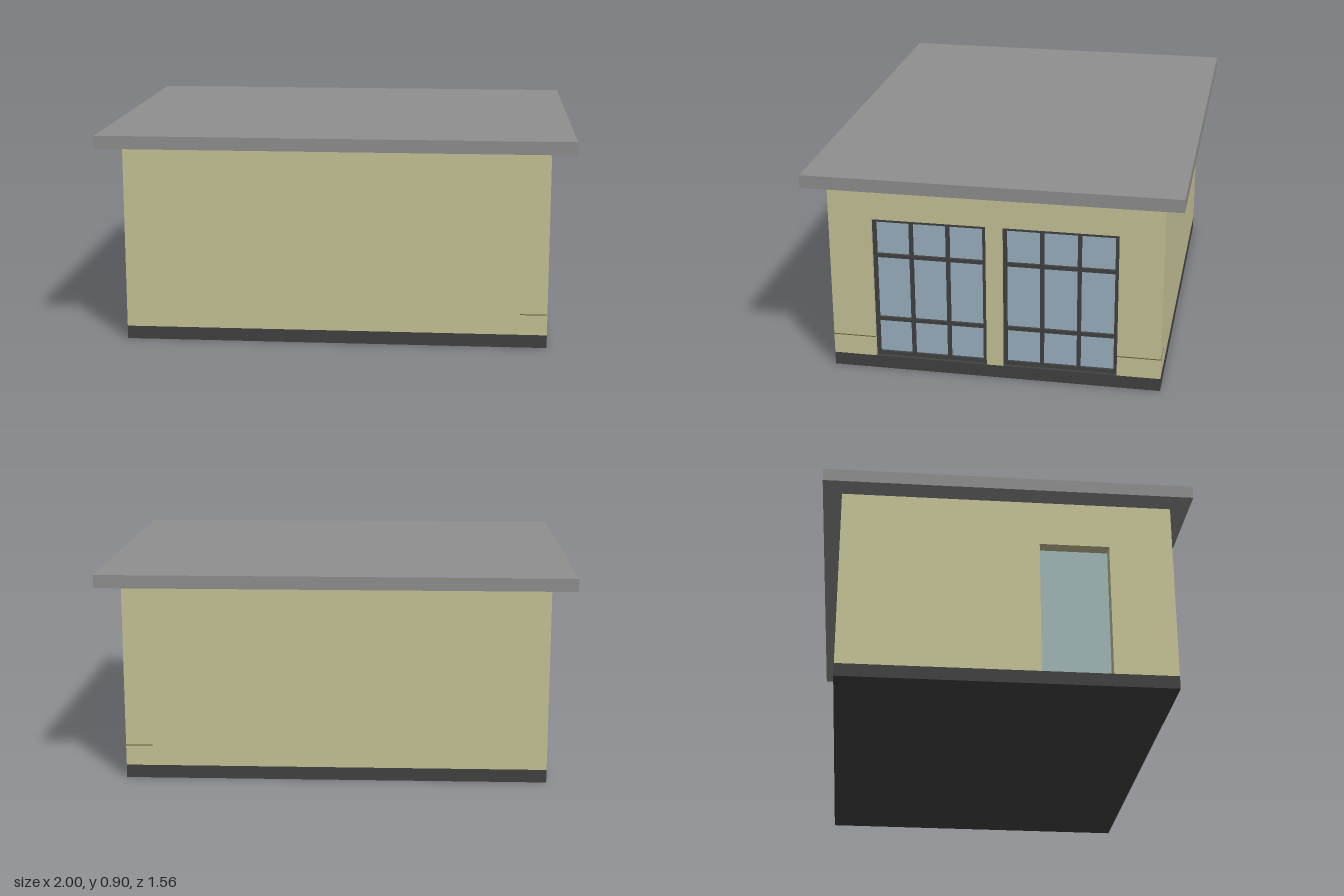
import * as THREE from 'three';

const paint = (color) => new THREE.MeshStandardMaterial({ color });
const WALL = paint(0xc8c498), ROOF = paint(0x909090), DARK = paint(0x424242);
const GLASS = paint(0x9ab2c2), DOOR = paint(0xa0b6b6), LINE = paint(0x6b6540);

const X = 0.9, Z = 0.7, FLOOR = 0.056, EAVE = 0.845, TOP = 0.9, THICK = 0.06;

// Box given by its minimum and maximum corners
function box(name, mat, [x0, y0, z0], [x1, y1, z1]) {
  const mesh = new THREE.Mesh(new THREE.BoxGeometry(x1 - x0, y1 - y0, z1 - z0), mat);
  mesh.position.set((x0 + x1) / 2, (y0 + y1) / 2, (z0 + z1) / 2);
  mesh.name = name;
  return mesh;
}

// Side wall between front and back walls, notched from the floor for each opening [z0, z1, top]
function sideWall(name, outerX, openings) {
  const end = Z - THICK;
  const shape = new THREE.Shape();
  shape.moveTo(-end, FLOOR);
  for (const [z0, z1, top] of openings) {
    shape.lineTo(z0, FLOOR);
    shape.lineTo(z0, top);
    shape.lineTo(z1, top);
    shape.lineTo(z1, FLOOR);
  }
  shape.lineTo(end, FLOOR);
  shape.lineTo(end, EAVE);
  shape.lineTo(-end, EAVE);
  const geo = new THREE.ExtrudeGeometry(shape, { depth: THICK, bevelEnabled: false });
  geo.rotateY(-Math.PI / 2);
  const mesh = new THREE.Mesh(geo, WALL);
  mesh.position.x = outerX;
  mesh.name = name;
  return mesh;
}

// Tall window: glass, outer frame and a 3 x 3 grid of bars
function makeWindow(name, z0, z1, top) {
  const group = new THREE.Group();
  group.name = name;
  const front = X - 0.015, back = X - 0.045, bar = 0.016;
  group.add(box('glass', GLASS, [back, FLOOR, z0], [X - 0.028, top, z1]));
  for (let i = 0; i <= 3; i++) {
    const z = z0 + bar / 2 + ((z1 - z0 - bar) * i) / 3;
    group.add(box('uprightBar', DARK, [back, FLOOR, z - bar / 2], [front, top, z + bar / 2]));
  }
  for (const y of [FLOOR + bar / 2, 0.226, 0.518, top - bar / 2]) {
    group.add(box('crossBar', DARK, [back, y - bar / 2, z0], [front - 0.001, y + bar / 2, z1]));
  }
  return group;
}

export function createModel() {
  const model = new THREE.Group();
  model.name = 'pavilion';

  // Plinth and flat overhanging roof
  model.add(box('plinth', DARK, [-X, 0, -Z], [X, FLOOR, Z]));
  model.add(box('roofSlab', ROOF, [-1, EAVE, -0.78], [1, TOP, 0.78]));

  // Plain front and back walls
  model.add(box('frontWall', WALL, [-X, FLOOR, Z - THICK], [X, EAVE, Z]));
  model.add(box('backWall', WALL, [-X, FLOOR, -Z], [X, EAVE, -Z + THICK]));

  // Window wall and its two windows
  const inner = 0.035, outer = 0.517, head = 0.686;
  model.add(sideWall('windowWall', X, [[-outer, -inner, head], [inner, outer, head]]));
  model.add(makeWindow('frontWindow', inner, outer, head));
  model.add(makeWindow('backWindow', -outer, -inner, head));

  // Door wall with a recessed plain door
  const d0 = 0.135, d1 = 0.43, doorTop = 0.645;
  model.add(sideWall('doorWall', -X + THICK, [[d0, d1, doorTop]]));
  model.add(box('door', DOOR, [-X + 0.055, FLOOR, d0], [-X + 0.085, doorTop, d1]));

  // Thin joint line wrapping the corners beside the windows
  const y0 = 0.143, y1 = 0.147, e = 0.001;
  for (const s of [1, -1]) {
    const a = s * outer, b = s * (Z + e), c = s * (Z - 0.01);
    model.add(box('sideJoint', LINE, [X - 0.01, y0, Math.min(a, b)], [X + e, y1, Math.max(a, b)]));
    model.add(box('cornerJoint', LINE, [0.785, y0, Math.min(b, c)], [X, y1, Math.max(b, c)]));
  }
  return model;
}
